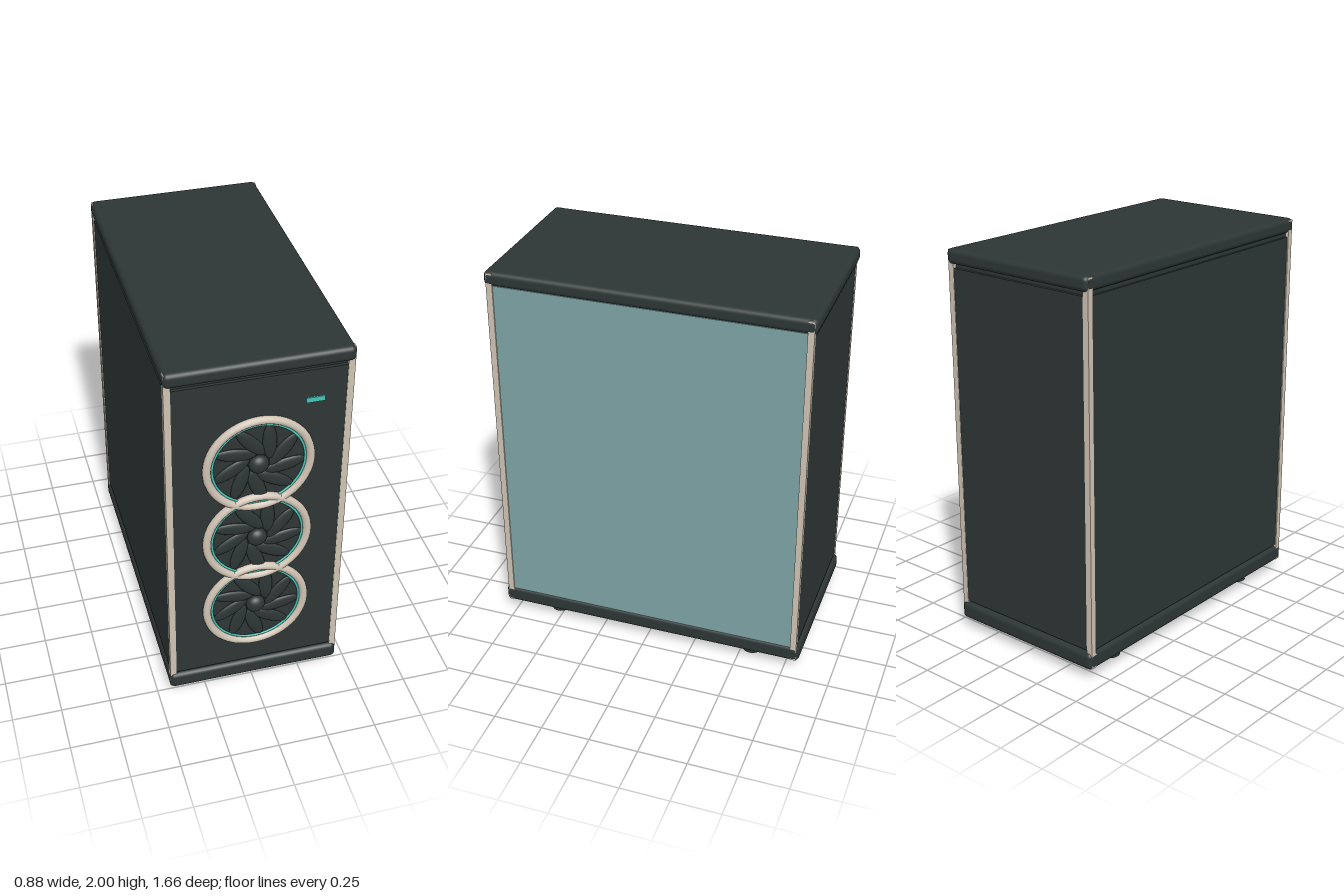
import * as THREE from 'three';
import { RoundedBoxGeometry } from 'three/addons/geometries/RoundedBoxGeometry.js';

const material = (name, color) => {
  const m = new THREE.MeshStandardMaterial({ color });
  m.name = name;
  return m;
};

export function createModel() {
  const charcoal = material('charcoal', 0x2d3635);
  const cream = material('cream', 0xcfc3b3);
  const glass = material('tinted glass', 0x7da3a6);
  const teal = material('teal light', 0x45c4b8);

  const model = new THREE.Group();
  model.name = 'computerCase';
  const add = (parent, name, geometry, mat, x, y, z) => {
    const mesh = new THREE.Mesh(geometry, mat);
    mesh.name = name;
    mesh.position.set(x, y, z);
    parent.add(mesh);
    return mesh;
  };
  const box = (w, h, d) => new THREE.BoxGeometry(w, h, d);
  const midZ = -0.012; // centre of the case; the fans reach further forward

  // Rounded top and bottom caps
  add(model, 'topCap', new RoundedBoxGeometry(0.88, 0.075, 1.63, 4, 0.025), charcoal, 0, 1.9625, midZ);
  add(model, 'bottomCap', new RoundedBoxGeometry(0.88, 0.09, 1.63, 4, 0.025), charcoal, 0, 0.1, midZ);

  // Inner shell and the raised panels on it
  add(model, 'shell', box(0.84, 1.82, 1.566), charcoal, 0, 1.035, midZ);
  add(model, 'frontPanel', box(0.816, 1.75, 0.02), charcoal, 0, 1.03, 0.777);
  add(model, 'backPanel', box(0.816, 1.75, 0.02), charcoal, 0, 1.03, -0.801);
  add(model, 'leftGlass', box(0.02, 1.79, 1.545), glass, 0.422, 1.033, midZ);
  add(model, 'rightPanel', box(0.02, 1.75, 1.545), charcoal, -0.422, 1.03, midZ);

  // Corner posts and feet
  const postGeometry = box(0.032, 1.93, 0.032);
  const footGeometry = new THREE.CylinderGeometry(0.04, 0.05, 0.07, 24);
  for (const sx of [-1, 1]) {
    for (const sz of [-1, 1]) {
      add(model, 'cornerPost', postGeometry, cream, sx * 0.422, 1.028, midZ + sz * 0.785);
      add(model, 'foot', footGeometry, charcoal, sx * 0.33, 0.035, midZ + sz * 0.542);
    }
  }

  // Three front fans
  const rimGeometry = new THREE.TorusGeometry(0.248, 0.02, 12, 64);
  const lightGeometry = new THREE.TorusGeometry(0.222, 0.006, 8, 64);
  const hubGeometry = new THREE.SphereGeometry(0.048, 24, 16).scale(1, 1, 0.73);
  const bladeGeometry = new THREE.SphereGeometry(1, 20, 12).scale(0.1, 0.034, 0.013);
  const bladeCount = 9;
  for (const y of [1.431, 0.988, 0.546]) {
    const fan = new THREE.Group();
    fan.name = 'fan';
    fan.position.set(0, y, 0.795);
    add(fan, 'fanRim', rimGeometry, cream, 0, 0, 0);
    add(fan, 'fanLight', lightGeometry, teal, 0, 0, 0);
    add(fan, 'fanHub', hubGeometry, charcoal, 0, 0, 0);
    for (let i = 0; i < bladeCount; i++) {
      const a = 1.18 + (i / bladeCount) * Math.PI * 2;
      const blade = add(fan, 'fanBlade', bladeGeometry, charcoal, Math.cos(a) * 0.13, Math.sin(a) * 0.13, -0.003);
      blade.rotation.z = a + 0.42;
    }
    model.add(fan);
  }

  // Status light in front of the panel
  add(model, 'statusLight', box(0.088, 0.026, 0.008), teal, 0.246, 1.772, 0.824);
  return model;
}
